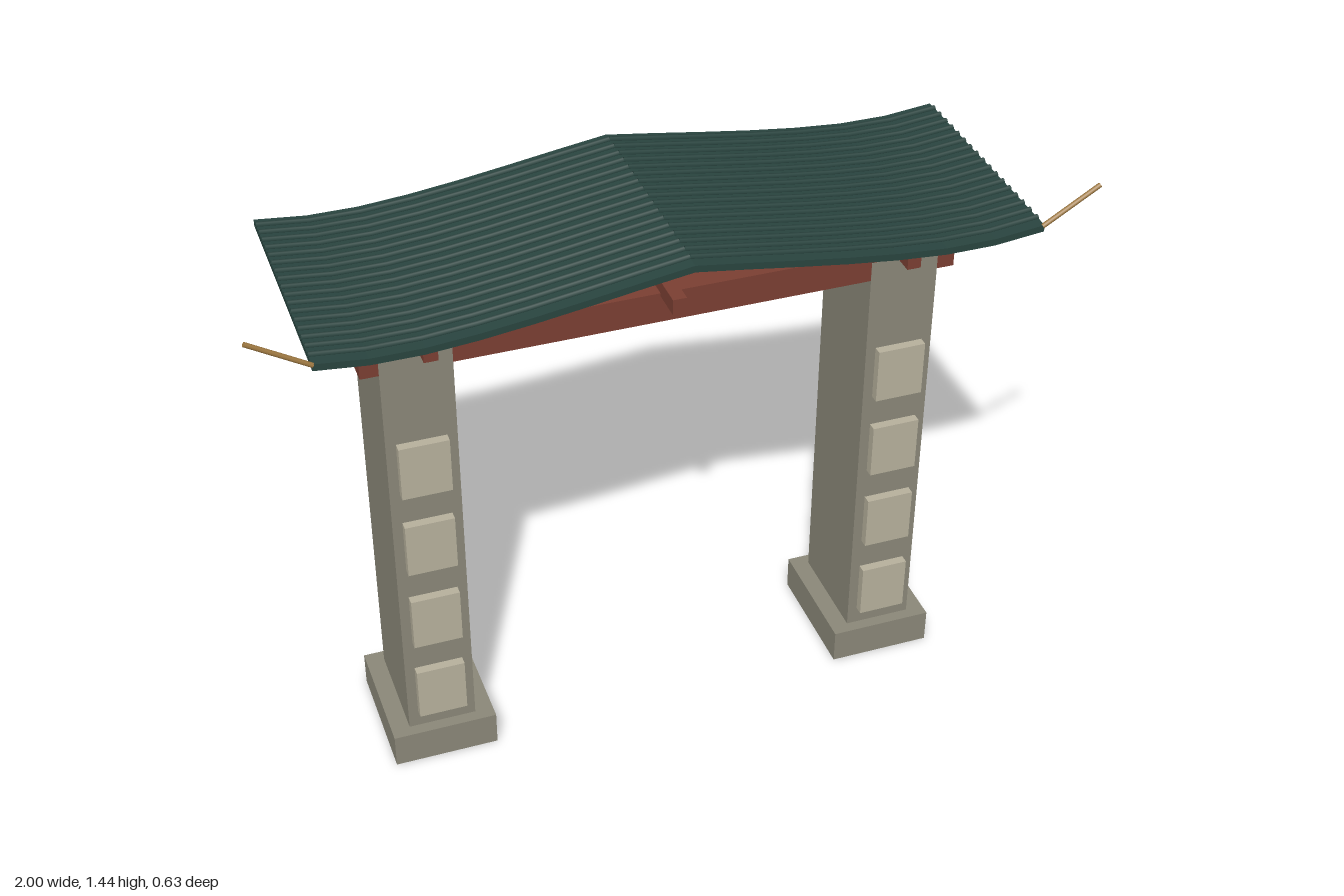
import * as THREE from 'three';

const mat = (name, color, extra = {}) => {
  const m = new THREE.MeshStandardMaterial({ color, ...extra });
  m.name = name;
  return m;
};

export function createModel() {
  const stone = mat('stone', 0x8a8778);
  const panelStone = mat('pale stone', 0xb6b09c);
  const wood = mat('red wood', 0x7a3f32);
  const tile = mat('green tile', 0x29443f, { side: THREE.DoubleSide });
  const brass = mat('brass', 0xa07a42);

  const model = new THREE.Group();
  model.name = 'gate';

  const add = (name, geometry, material, x = 0, y = 0, z = 0, parent = model) => {
    const mesh = new THREE.Mesh(geometry, material);
    mesh.name = name;
    mesh.position.set(x, y, z);
    parent.add(mesh);
    return mesh;
  };

  // Thin round bar between two points
  const bar = (name, a, b, radius, material) => {
    const dir = b.clone().sub(a);
    const mid = a.clone().add(b).multiplyScalar(0.5);
    const mesh = add(name, new THREE.CylinderGeometry(radius, radius, dir.length(), 8), material, mid.x, mid.y, mid.z);
    mesh.quaternion.setFromUnitVectors(new THREE.Vector3(0, 1, 0), dir.normalize());
  };

  // Pillars with footings and four raised panels on the front
  for (const side of [-1, 1]) {
    const pillar = new THREE.Group();
    pillar.name = side > 0 ? 'leftPillar' : 'rightPillar';
    pillar.position.x = side * 0.6;
    model.add(pillar);
    add('footing', new THREE.BoxGeometry(0.265, 0.09, 0.33), stone, 0, 0.045, 0, pillar);
    add('shaft', new THREE.BoxGeometry(0.172, 1.13, 0.27), stone, 0, 0.655, 0, pillar);
    for (let i = 0; i < 4; i++) {
      add('panel', new THREE.BoxGeometry(0.122, 0.145, 0.026), panelStone, 0, 0.21 + i * 0.23, 0.145, pillar);
    }
  }

  // Lintel and the three short cross beams on it
  add('lintel', new THREE.BoxGeometry(1.46, 0.078, 0.268), wood, 0, 1.209, 0);
  for (const x of [-0.583, 0, 0.583]) {
    add('crossBeam', new THREE.BoxGeometry(0.034, 0.04, 0.435), wood, x, 1.26, 0);
  }

  // Slanted rods hanging below the lintel
  for (let i = 0; i < 13; i++) {
    const x = -0.502 + i * 0.0832;
    bar('hangingRod', new THREE.Vector3(x, 1.122, 0), new THREE.Vector3(x + 0.045, 1.178, 0), 0.003, brass);
  }

  // Roof slab: one swept profile, mirrored about the ridge
  const heights = [1.417, 1.399, 1.38, 1.362, 1.347, 1.337, 1.337, 1.35];
  const half = heights.map((y, i) => new THREE.Vector2(i * 0.123, y));
  const line = [...half.slice(1).reverse().map((p) => new THREE.Vector2(-p.x, p.y)), ...half];
  const offset = (d) => line.map((p) => new THREE.Vector2(p.x, p.y + d));
  const profile = new THREE.Shape([...offset(-0.009), ...offset(0.008).reverse()]);
  const slab = new THREE.ExtrudeGeometry(profile, { depth: 0.626, bevelEnabled: false });
  add('roofSlab', slab, tile, 0, 0, -0.313);

  // Round tile ribs running down both slopes
  for (const side of [-1, 1]) {
    const path = new THREE.CatmullRomCurve3(half.map((p) => new THREE.Vector3(side * p.x, p.y + 0.01, 0)));
    const rib = new THREE.TubeGeometry(path, 7, 0.007, 6);
    for (let i = 0; i < 17; i++) add('tileRib', rib, tile, 0, 0, (i - 8) * 0.0351 - 0.004);
  }

  // Upswept finials at the front eave corners
  for (const side of [-1, 1]) {
    bar('finial', new THREE.Vector3(side * 0.858, 1.353, 0.309), new THREE.Vector3(side * 0.997, 1.437, 0.309), 0.006, brass);
  }
  return model;
}
